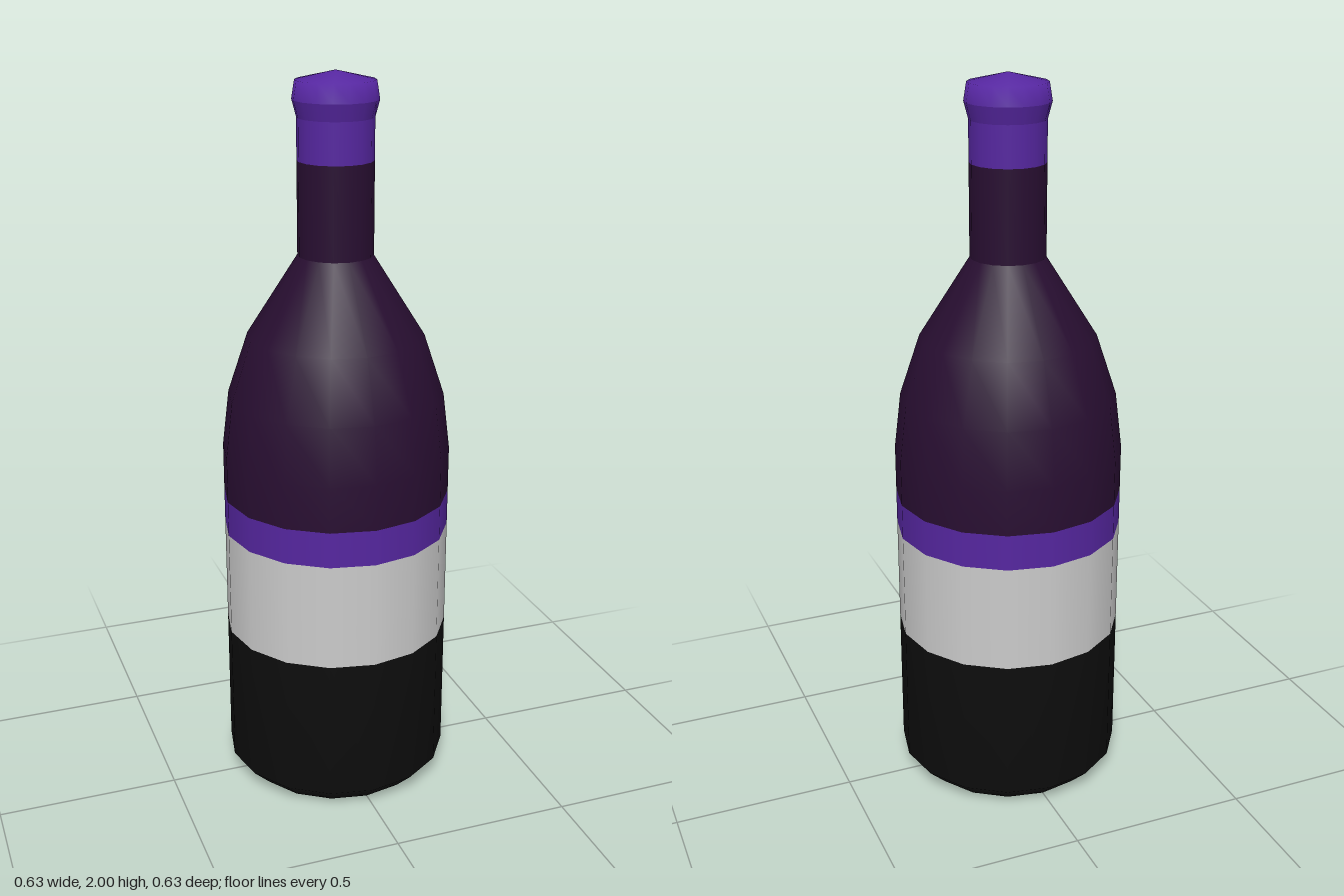
import * as THREE from 'three';

const SIDES = 16;

export function createModel() {
  const bottle = new THREE.Group();
  bottle.name = 'bottle';

  const material = (name, color) => {
    const m = new THREE.MeshStandardMaterial({ color });
    m.name = name;
    return m;
  };
  const black = material('black', 0x0d0d0d);
  const white = material('pale grey', 0xcacaca);
  const purple = material('purple', 0x55269f);
  const glass = material('dark plum glass', 0x280e31);

  // Each part is a turned band, its profile given as [radius, height] from bottom to top
  const turn = (name, mat, profile) => {
    const points = profile.map(([r, y]) => new THREE.Vector2(r, y));
    const mesh = new THREE.Mesh(new THREE.LatheGeometry(points, SIDES), mat);
    mesh.name = name;
    bottle.add(mesh);
  };

  const R = 0.315; // body radius
  const N = 0.102; // neck radius

  // Body
  turn('base', black, [[0, 0], [0.262, 0], [R, 0.052], [R, 0.453]]);
  turn('label', white, [[R, 0.453], [R, 0.752]]);
  turn('labelStripe', purple, [[R, 0.752], [R, 0.852]]);
  turn('shoulder', glass, [[R, 0.852], [R, 0.98], [0.296, 1.137], [0.24, 1.305], [N, 1.522]]);

  // Neck and foil cap
  turn('neck', glass, [[N, 1.522], [N, 1.772]]);
  turn('foil', purple, [[N, 1.772], [N, 1.882]]);
  turn('capUnderside', purple, [[N, 1.882], [0.114, 1.927]]);
  turn('cap', purple, [[0.114, 1.927], [0.106, 1.976], [0, 2]]);

  return bottle;
}
